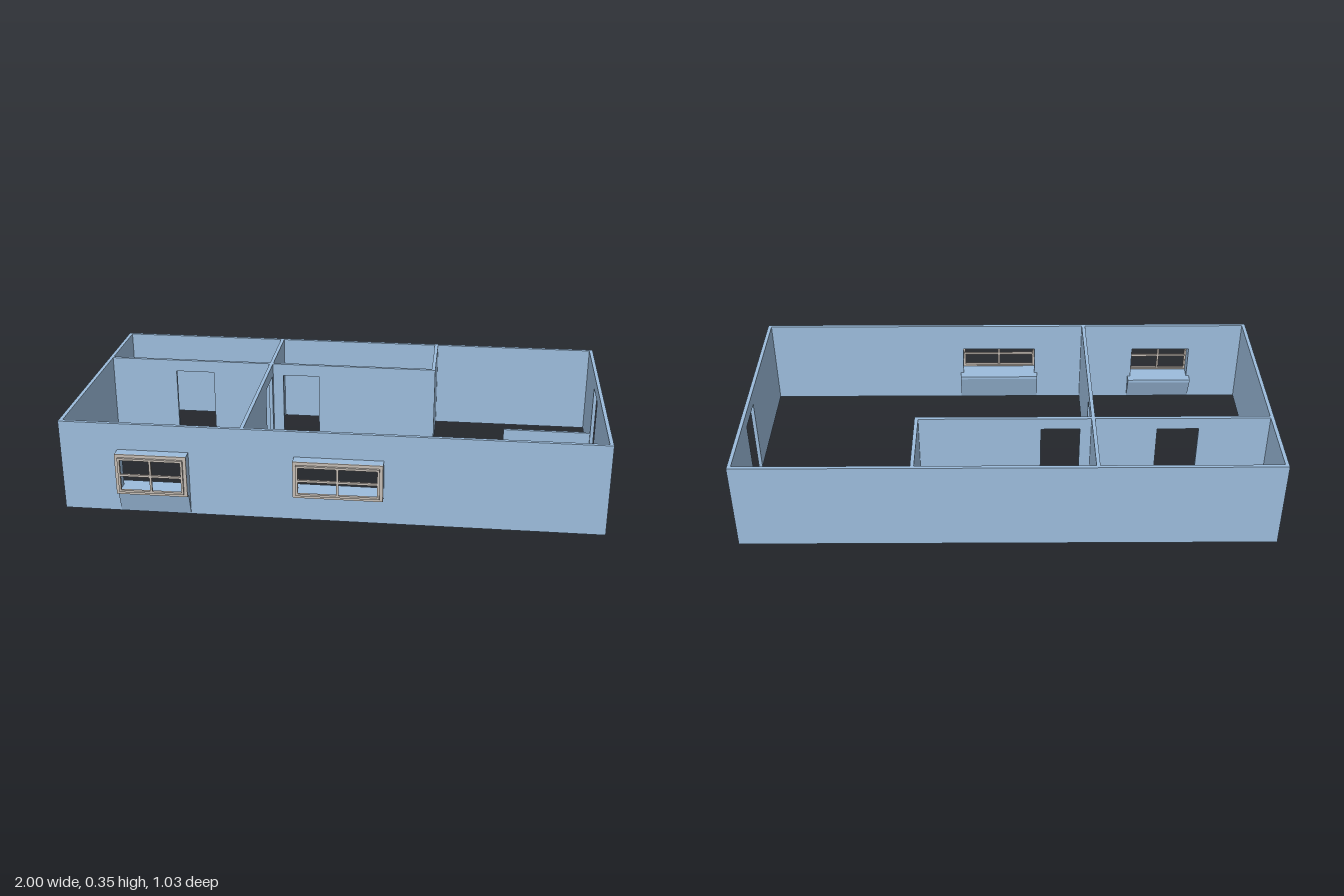
import * as THREE from 'three';

const H = 0.353;          // wall height
const DOOR_H = 0.305;
const T = 0.014;          // wall thickness
const FRONT = 0.463, BACK = -0.515;

const wallMat = new THREE.MeshStandardMaterial({ color: 0x9cbcdc });
const frameMat = new THREE.MeshStandardMaterial({ color: 0xc4bcb4 });

const rect = (C, x0, x1, y0, y1) =>
  new C([[x0, y0], [x1, y0], [x1, y1], [x0, y1]].map(p => new THREE.Vector2(...p)));

function extrude(name, shape, depth, material) {
  const geo = new THREE.ExtrudeGeometry(shape, { depth, bevelEnabled: false });
  const mesh = new THREE.Mesh(geo, material);
  mesh.name = name;
  return mesh;
}

// Upright outline from a to b, with doorways notched out of its foot
function wallShape(a, b, height, doors) {
  const pts = [[a, 0]];
  for (const [d0, d1] of doors) pts.push([d0, 0], [d0, DOOR_H], [d1, DOOR_H], [d1, 0]);
  pts.push([b, 0], [b, height], [a, height]);
  return new THREE.Shape(pts.map(p => new THREE.Vector2(...p)));
}

// Wall running along x; its rear face lies at z
function wallX(name, a, b, z, { doors = [], windows = [], height = H, t = T } = {}) {
  const shape = wallShape(a, b, height, doors);
  for (const w of windows) shape.holes.push(rect(THREE.Path, ...w));
  const mesh = extrude(name, shape, t, wallMat);
  mesh.position.z = z;
  return mesh;
}

// Outline drawn in (z, y), extruded across x from x0 to x1
function acrossX(name, shape, x0, x1) {
  const mesh = extrude(name, shape, x1 - x0, wallMat);
  mesh.rotation.y = -Math.PI / 2;
  mesh.position.x = x1;
  return mesh;
}

const wallZ = (name, a, b, x, doors = []) =>
  acrossX(name, wallShape(a, b, H, doors), x, x + T);

const profile = pts => new THREE.Shape(pts.map(p => new THREE.Vector2(...p)));

// Rectangular ring between an outer rectangle and one inset by w
function ring(name, [x0, x1, y0, y1], w, z0, z1, material) {
  const shape = rect(THREE.Shape, x0, x1, y0, y1);
  shape.holes.push(rect(THREE.Path, x0 + w, x1 - w, y0 + w, y1 - w));
  const mesh = extrude(name, shape, z1 - z0, material);
  mesh.position.z = z0;
  return mesh;
}

function bar(name, w, h, x, y) {
  const mesh = new THREE.Mesh(new THREE.BoxGeometry(w, h, 0.009), frameMat);
  mesh.name = name;
  mesh.position.set(x, y, 0.51);
  return mesh;
}

const inset = ([x0, x1, y0, y1], d) => [x0 + d, x1 - d, y0 + d, y1 - d];

// Projecting window: box, rim, sash with crossing bars, and an inner sill on a sloped bracket
function bayWindow(name, size, outerBracket) {
  const g = new THREE.Group();
  g.name = name;
  const [x0, x1, y0, y1] = size;
  const cx = (x0 + x1) / 2, cy = (y0 + y1) / 2;
  g.add(ring('windowBox', size, 0.012, FRONT - T, 0.501, wallMat));
  g.add(ring('windowRim', size, 0.016, 0.501, 0.506, frameMat));
  g.add(ring('sash', inset(size, 0.012), 0.008, 0.504, 0.515, frameMat));
  g.add(bar('mullion', 0.008, y1 - y0 - 0.034, cx, cy));
  g.add(bar('glazingBar', x1 - x0 - 0.034, 0.008, cx, cy));
  const sill = y0 + 0.012;
  g.add(acrossX('innerSill', profile([
    [FRONT - T, 0], [FRONT - T, sill], [0.415, sill], [0.415, y0],
  ]), x0, x1));
  if (outerBracket) {
    g.add(acrossX('outerBracket', profile([
      [FRONT, 0], [0.488, y0], [FRONT, y0],
    ]), x0, x1));
  }
  return g;
}

export function createModel() {
  const model = new THREE.Group();
  model.name = 'floorPlan';

  const windowA = [-0.785, -0.52, 0.09, 0.25];
  const windowB = [-0.13, 0.197, 0.11, 0.253];

  // Outer walls
  model.add(
    wallX('frontWall', -1, 1, FRONT - T, { windows: [inset(windowA, 0.012), inset(windowB, 0.012)] }),
    wallX('backWall', -1, 1, BACK),
    wallZ('rightWall', BACK + T, FRONT - T, -1),
    wallZ('leftWall', BACK + T, FRONT - T, 1 - T, [[-0.195, -0.048]]),
  );

  // Inner walls
  model.add(
    wallZ('crossWall', BACK + T, FRONT - T, -0.328, [[-0.178, -0.032]]),
    wallX('rightRoomWall', -1 + T, -0.328, -0.217, { doors: [[-0.72, -0.563]] }),
    wallX('middleRoomWall', -0.328 + T, 0.35, -0.217, { doors: [[-0.272, -0.125]] }),
    wallZ('middleRoomEndWall', BACK + T, -0.217, 0.35 - T),
    wallX('lowWall', 0.637, 1 - T, -0.215, { height: 0.105, t: 0.012 }),
  );

  // Windows
  model.add(
    bayWindow('rightWindow', windowA, true),
    bayWindow('middleWindow', windowB, false),
  );
  return model;
}
